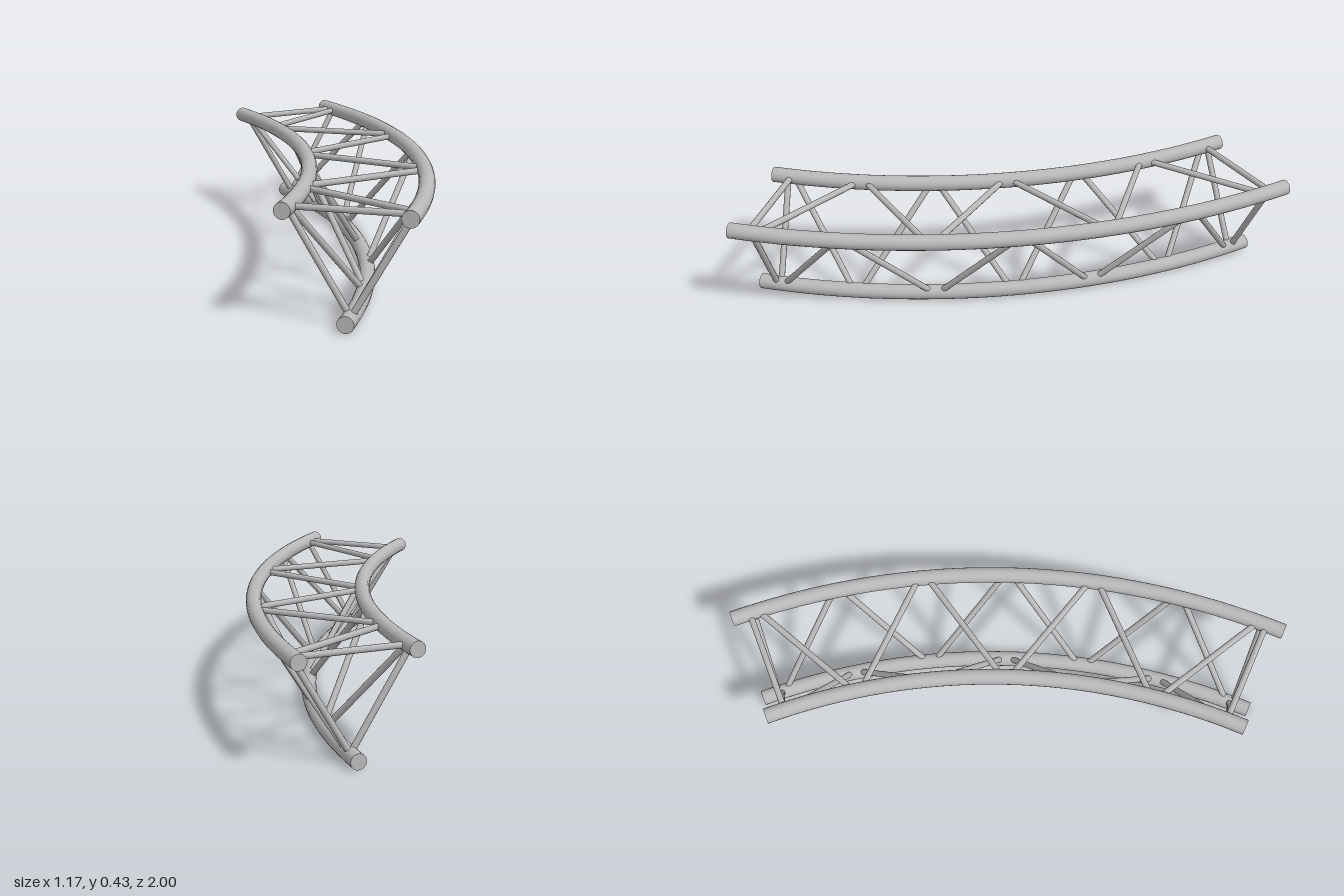
import * as THREE from 'three';

const ARC = Math.PI / 4;      // sweep of the truss
const CX = -2.246, CZ = 1;    // centre of the bend
const TUBE = 0.03, BRACE = 0.012;
const CHORDS = {
  outer: { name: 'outerTopChord', radius: 2.799, y: 0.4 },
  inner: { name: 'innerTopChord', radius: 2.373, y: 0.4 },
  bottom: { name: 'bottomChord', radius: 2.587, y: TUBE },
};

// Point on a chord at an angle in degrees
function pointOn(chord, degrees) {
  const a = THREE.MathUtils.degToRad(degrees);
  return new THREE.Vector3(CX + chord.radius * Math.cos(a), chord.y, CZ - chord.radius * Math.sin(a));
}

// Curved main tube with a flat cap on each end
function makeChord(chord, material) {
  const group = new THREE.Group();
  group.name = chord.name;
  const tube = new THREE.Mesh(
    new THREE.TorusGeometry(chord.radius, TUBE, 18, 32, ARC).rotateX(-Math.PI / 2), material);
  tube.name = chord.name + 'Tube';
  tube.position.set(CX, chord.y, CZ);
  group.add(tube);
  for (const [angle, turn] of [[0, 0], [45, ARC + Math.PI]]) {
    const cap = new THREE.Mesh(new THREE.CircleGeometry(TUBE, 18), material);
    cap.name = chord.name + 'Cap';
    cap.position.copy(pointOn(chord, angle));
    cap.rotation.y = turn;
    group.add(cap);
  }
  return group;
}

// Straight thin rod between two points
function makeBrace(a, b, material) {
  const dir = b.clone().sub(a);
  const rod = new THREE.Mesh(new THREE.CylinderGeometry(BRACE, BRACE, dir.length(), 12), material);
  rod.name = 'brace';
  rod.position.copy(a).add(b).multiplyScalar(0.5);
  rod.quaternion.setFromUnitVectors(new THREE.Vector3(0, 1, 0), dir.normalize());
  return rod;
}

// Zigzag of rods that alternates between two chords
function makeLacing(name, first, second, material) {
  const group = new THREE.Group();
  group.name = name;
  const start = 1.8, step = 6.9, gap = 0.33;
  const nodes = [start];
  for (let i = 0; i < 7; i++) nodes.push(start + i * step);
  nodes.push(start + 6 * step);
  for (let i = 0; i < nodes.length - 1; i++) {
    const from = i % 2 ? second : first, to = i % 2 ? first : second;
    const a = nodes[i] + (i > 0 ? gap : 0);
    const b = nodes[i + 1] - (i < nodes.length - 2 ? gap : 0);
    group.add(makeBrace(pointOn(from, a), pointOn(to, b), material));
  }
  return group;
}

export function createModel() {
  const model = new THREE.Group();
  model.name = 'curvedTruss';
  const metal = new THREE.MeshStandardMaterial({ color: 0xb8b8b8 });
  metal.name = 'grey metal';

  // Main tubes
  const { outer, inner, bottom } = CHORDS;
  for (const chord of [outer, inner, bottom]) model.add(makeChord(chord, metal));

  // Lacing on the three faces
  model.add(makeLacing('topLacing', inner, outer, metal));
  model.add(makeLacing('outerLacing', outer, bottom, metal));
  model.add(makeLacing('innerLacing', bottom, inner, metal));
  return model;
}
